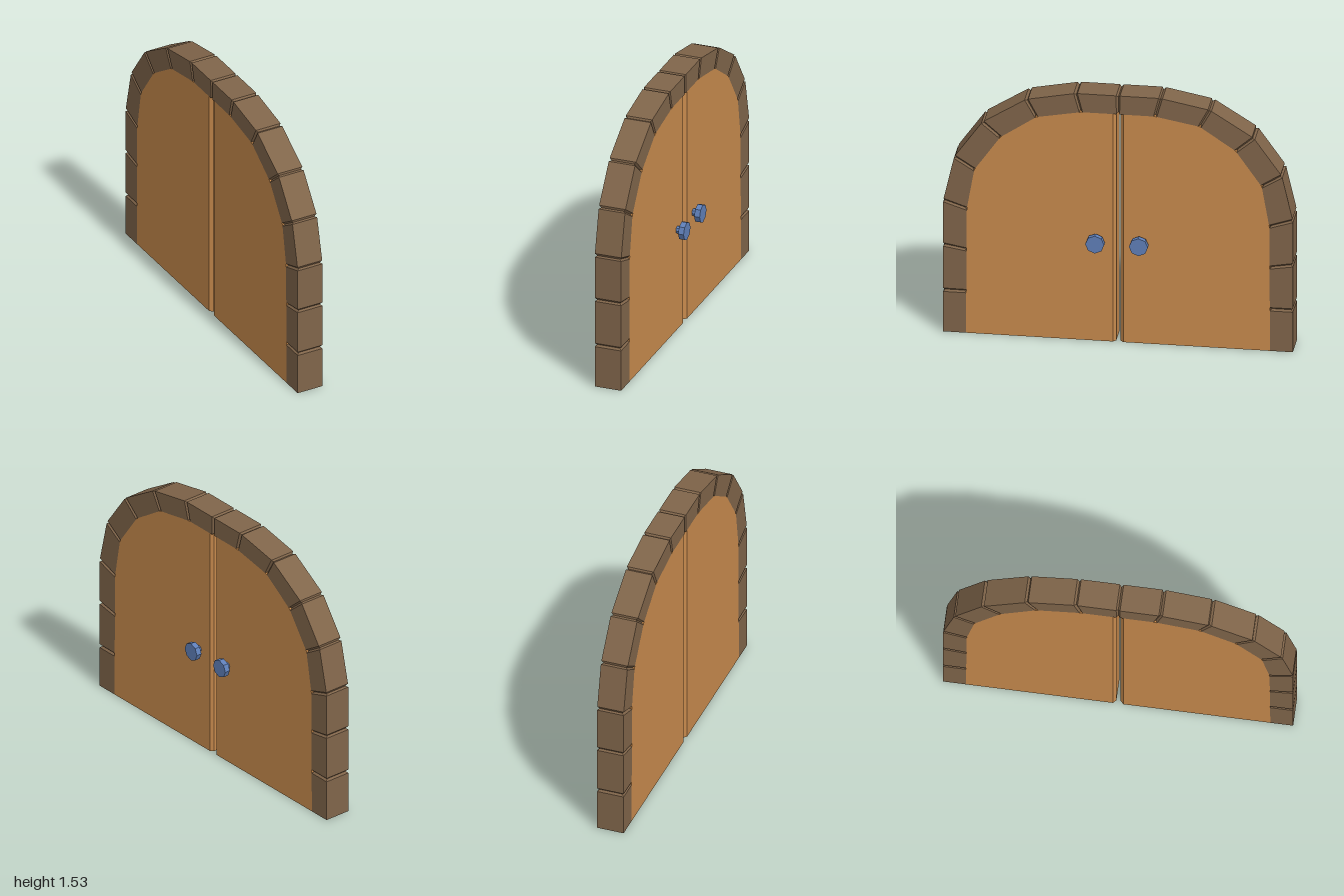
import * as THREE from 'three';

const DEPTH = 0.16, H = DEPTH / 2, CHAMFER = 0.011;
const mat = (color) => new THREE.MeshStandardMaterial({ color, flatShading: true });
const stoneMat = mat(0x80654a), woodMat = mat(0xc78a4d), metalMat = mat(0x5f7fb8);

// Joints between arch stones for one half: [outer z, outer y, inner z, inner y]
const joints = [
  [1, 0, 0.87, 0], [1, 0.26, 0.868, 0.26], [1, 0.543, 0.867, 0.52], [1, 0.82, 0.865, 0.775],
  [0.937, 1.095, 0.822, 1.022], [0.776, 1.322, 0.673, 1.234], [0.525, 1.48, 0.467, 1.373],
  [0.243, 1.535, 0.212, 1.42], [0, 1.535, 0, 1.42],
];

function mesh(geometry, material, name) {
  const m = new THREE.Mesh(geometry, material);
  m.name = name;
  return m;
}

// Four-cornered section of a stone at fraction t between two joints
function section(a, b, t, inset) {
  const [oz, oy, iz, iy] = a.map((v, i) => v + (b[i] - v) * t);
  const k = inset / Math.hypot(oz - iz, oy - iy);
  const dz = (oz - iz) * k, dy = (oy - iy) * k, x = H - inset;
  return [
    [x, oy - dy, oz - dz], [-x, oy - dy, oz - dz],
    [-x, iy + dy, iz + dz], [x, iy + dy, iz + dz],
  ];
}

// Stone block with chamfered ends (the lowest one stands flat on the ground)
function stoneGeometry(a, b, flatBase) {
  const t = CHAMFER / Math.hypot(a[0] - b[0], a[1] - b[1]);
  const loops = [section(a, b, t, 0), section(a, b, 1 - t, 0), section(a, b, 1, CHAMFER)];
  if (flatBase) loops[0] = section(a, b, 0, 0);
  else loops.unshift(section(a, b, 0, CHAMFER));
  const pos = [];
  const quad = (p, q, r, s) => pos.push(...p, ...q, ...r, ...p, ...r, ...s);
  for (let j = 0; j < loops.length - 1; j++) {
    const l = loops[j], u = loops[j + 1];
    for (let i = 0; i < 4; i++) {
      const n = (i + 1) % 4;
      quad(l[i], u[i], u[n], l[n]);
    }
  }
  quad(...loops[0]);
  quad(...loops[loops.length - 1].slice().reverse());
  const g = new THREE.BufferGeometry();
  g.setAttribute('position', new THREE.Float32BufferAttribute(pos, 3));
  g.computeVertexNormals();
  return g;
}

function createHalf(name) {
  const half = new THREE.Group();
  half.name = name;

  // Arch stones
  for (let i = 0; i < joints.length - 1; i++) {
    half.add(mesh(stoneGeometry(joints[i], joints[i + 1], i === 0), stoneMat, 'archStone' + (i + 1)));
  }

  // Door leaf filling the arch
  const seam = 0.03, gap = 0.012, top = 1.42;
  const outline = [new THREE.Vector2(seam, 0)];
  joints.slice(0, -1).forEach((j) => outline.push(new THREE.Vector2(j[2], j[3])));
  outline.push(new THREE.Vector2(seam, top));
  const leaf = new THREE.ExtrudeGeometry(new THREE.Shape(outline), { depth: DEPTH, bevelEnabled: false });
  leaf.translate(0, 0, -H).rotateY(-Math.PI / 2);
  half.add(mesh(leaf, woodMat, 'doorLeaf'));

  // Bevelled meeting edge of the leaf
  const c = seam - gap;
  const profile = new THREE.Shape([
    new THREE.Vector2(H, -seam), new THREE.Vector2(H - c, -gap),
    new THREE.Vector2(-H + c, -gap), new THREE.Vector2(-H, -seam),
  ]);
  const edge = new THREE.ExtrudeGeometry(profile, { depth: top, bevelEnabled: false });
  edge.rotateX(-Math.PI / 2);
  half.add(mesh(edge, woodMat, 'doorMeetingEdge'));

  half.position.x = -0.03;
  return half;
}

// Eight-sided knob on a short stem
function createKnob(z) {
  const knob = new THREE.Group();
  knob.name = 'doorKnob';
  const part = (r, x0, x1, name) => {
    const g = new THREE.CylinderGeometry(r, r, x1 - x0, 8);
    g.rotateZ(-Math.PI / 2).translate((x0 + x1) / 2, 0, 0);
    knob.add(mesh(g, metalMat, name));
  };
  part(0.022, 0.045, 0.08, 'knobStem');
  part(0.054, 0.077, 0.11, 'knobHead');
  knob.position.set(0, 0.625, z);
  return knob;
}

export function createModel() {
  const model = new THREE.Group();
  model.name = 'archedDoubleDoor';
  const a = createHalf('frontHalf'), b = createHalf('backHalf');
  b.rotation.y = Math.PI;
  model.add(a, b, createKnob(0.125), createKnob(-0.125));
  return model;
}
